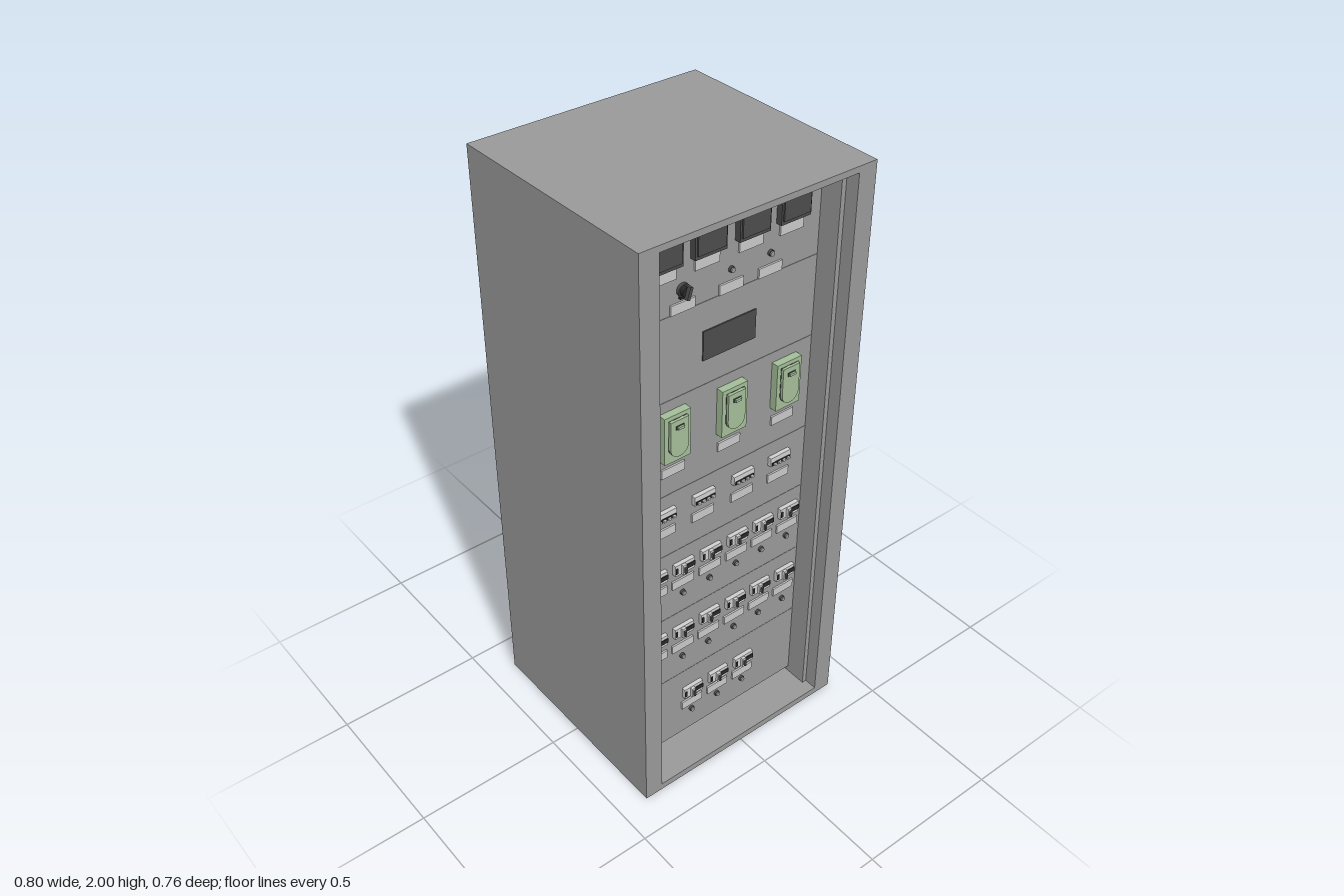
import * as THREE from 'three';

const mat = (name, color) => {
  const m = new THREE.MeshStandardMaterial({ color });
  m.name = name;
  return m;
};

export function createModel() {
  const steel = mat('grey steel', 0x999999);
  const label = mat('pale label', 0xc8c8c8);
  const dark = mat('dark plastic', 0x4c4c4c);
  const black = mat('black plastic', 0x2a2a2a);
  const white = mat('light plastic', 0xd0d0d0);
  const green = mat('green casing', 0xa3be98);

  const model = new THREE.Group();
  model.name = 'switchCabinet';
  const FACE = 0.26; // front of the recessed panel

  const group = (name, x = 0, y = 0, z = 0) => {
    const g = new THREE.Group();
    g.name = name;
    g.position.set(x, y, z);
    model.add(g);
    return g;
  };
  const add = (parent, name, geometry, material, x = 0, y = 0, z = 0) => {
    const m = new THREE.Mesh(geometry, material);
    m.name = name;
    m.position.set(x, y, z);
    parent.add(m);
    return m;
  };
  // box from its limits
  const span = (parent, name, material, x0, x1, y0, y1, z0, z1) =>
    add(parent, name, new THREE.BoxGeometry(x1 - x0, y1 - y0, z1 - z0), material,
      (x0 + x1) / 2, (y0 + y1) / 2, (z0 + z1) / 2);
  // box standing on the plane z = z0, centred on x, y
  const raised = (parent, name, material, x, y, w, h, d, z0 = 0) =>
    add(parent, name, new THREE.BoxGeometry(w, h, d), material, x, y, z0 + d / 2);
  const disc = (parent, name, material, x, y, r, d, z0 = 0) => {
    const m = add(parent, name, new THREE.CylinderGeometry(r, r, d, 20), material, x, y, z0 + d / 2);
    m.rotation.x = Math.PI / 2;
    return m;
  };

  // Cabinet shell
  const shell = group('cabinetShell');
  span(shell, 'roof', steel, -0.4, 0.4, 1.98, 2, -0.38, 0.38);
  span(shell, 'base', steel, -0.4, 0.4, 0, 0.024, -0.38, 0.38);
  span(shell, 'back', steel, -0.4, 0.4, 0.024, 1.98, -0.38, -0.36);
  for (const s of [-1, 1]) {
    const side = s < 0 ? 'right' : 'left';
    const wall = (name, a, b, z0, z1) =>
      span(shell, side + name, steel, Math.min(s * a, s * b), Math.max(s * a, s * b), 0.024, 1.98, z0, z1);
    wall('Wall', 0.38, 0.4, -0.36, 0.335);
    wall('FrontPost', 0.336, 0.4, 0.335, 0.38);
    wall('InnerPost', 0.32, 0.38, 0.235, 0.335);
  }

  // Recessed panel, made of stacked plates
  const panel = group('frontPanel');
  const seams = [0.045, 0.325, 0.6, 0.86, 1.09, 1.42, 1.69, 1.96];
  for (let i = 0; i < seams.length - 1; i++)
    span(panel, 'panelPlate', steel, -0.32, 0.32, seams[i] + 0.0005, seams[i + 1] - 0.0005, FACE - 0.015, FACE);

  const tags = group('nameTags', 0, 0, FACE);
  const tag = (x, y) => raised(tags, 'nameTag', label, x, y, 0.084, 0.031, 0.006);

  const buttons = group('indicatorButtons', 0, 0, FACE);
  const button = (x, y) => {
    disc(buttons, 'buttonRing', dark, x, y, 0.0095, 0.008);
    disc(buttons, 'buttonCap', steel, x, y, 0.0075, 0.012);
  };

  // Meters along the top
  for (const x of [-0.233, -0.086, 0.066, 0.212]) {
    const g = group('meter', x, 1.892, FACE);
    raised(g, 'meterCase', dark, 0, 0, 0.108, 0.104, 0.02);
    raised(g, 'meterFace', dark, 0, 0.004, 0.096, 0.088, 0.005, 0.02);
    tag(x, 1.815);
  }

  // Selector knob and two buttons
  const knob = group('selectorKnob', -0.167, 1.758, FACE);
  disc(knob, 'knobBase', dark, 0, 0, 0.02, 0.01);
  disc(knob, 'knobBody', black, 0, 0, 0.016, 0.022);
  raised(knob, 'knobGrip', dark, 0, 0, 0.01, 0.038, 0.034).rotation.z = -0.3;
  raised(knob, 'knobFoot', black, 0, -0.022, 0.024, 0.006, 0.008);
  button(0, 1.758);
  button(0.14, 1.758);
  for (const x of [-0.168, 0, 0.14]) tag(x, 1.707);

  // Display plate
  raised(group('displayPlate', 0, 1.55, FACE), 'display', dark, 0, 0, 0.19, 0.095, 0.004);

  // Large green breakers with a round-bottomed cover
  const cover = (w, top, bottom) => {
    const r = w / 2;
    const s = new THREE.Shape();
    s.moveTo(r, top);
    s.lineTo(-r, top);
    s.lineTo(-r, bottom + r);
    s.absarc(0, bottom + r, r, Math.PI, Math.PI * 2, false);
    s.lineTo(r, top);
    return s;
  };
  const raisedCover = new THREE.ExtrudeGeometry(cover(0.064, 0.066, -0.06),
    { depth: 0.01, bevelEnabled: false, curveSegments: 12 });
  const rim = cover(0.068, 0.068, -0.062);
  rim.holes.push(cover(0.063, 0.065, -0.0595));
  const rimGeometry = new THREE.ExtrudeGeometry(rim, { depth: 0.003, bevelEnabled: false, curveSegments: 12 });
  for (const x of [-0.2, 0.008, 0.215]) {
    const g = group('largeBreaker', x, 1.305, FACE);
    raised(g, 'breakerCase', green, 0, 0, 0.093, 0.16, 0.025);
    add(g, 'breakerCover', raisedCover, green, 0, 0, 0.025);
    add(g, 'coverRim', rimGeometry, dark, 0, 0, 0.025).scale.set(0.98, 0.98, 0.5);
    raised(g, 'breakerSlot', dark, 0, 0.042, 0.028, 0.013, 0.002, 0.035);
    raised(g, 'breakerLever', green, 0, 0.042, 0.022, 0.008, 0.008, 0.035);
    tag(x, 1.176);
  }

  // Row of multi-pole switches
  for (const x of [-0.233, -0.086, 0.066, 0.212]) {
    const g = group('multiPoleSwitch', x, 1.024, FACE);
    raised(g, 'switchCase', white, 0, 0, 0.08, 0.032, 0.014);
    raised(g, 'switchSlot', black, 0, -0.007, 0.072, 0.011, 0.003, 0.014);
    for (let i = 0; i < 4; i++)
      raised(g, 'switchToggle', white, -0.026 + i * 0.0175, -0.007, 0.01, 0.007, 0.009, 0.014);
    tag(x, 0.956);
  }

  // Small breakers, each with a tag and a button below
  const smallBreaker = (x, y, tagY, buttonY) => {
    const g = group('smallBreaker', x, y, FACE);
    raised(g, 'breakerBody', white, 0, 0, 0.075, 0.04, 0.014);
    raised(g, 'breakerStripe', black, 0.018, 0, 0.039, 0.016, 0.003, 0.014);
    raised(g, 'breakerEdge', black, -0.033, 0, 0.008, 0.02, 0.003, 0.014);
    raised(g, 'breakerHousing', white, -0.008, 0, 0.014, 0.036, 0.01, 0.014);
    raised(g, 'breakerToggle', dark, -0.008, 0, 0.006, 0.02, 0.008, 0.024);
    tag(x, tagY);
    button(x, buttonY);
  };
  for (const x of [-0.264, -0.16, -0.054, 0.053, 0.158, 0.264]) {
    smallBreaker(x, 0.79, 0.726, 0.68);
    smallBreaker(x, 0.525, 0.454, 0.405);
  }
  for (const x of [-0.119, -0.011, 0.097]) smallBreaker(x, 0.23, 0.172, 0.133);

  return model;
}
